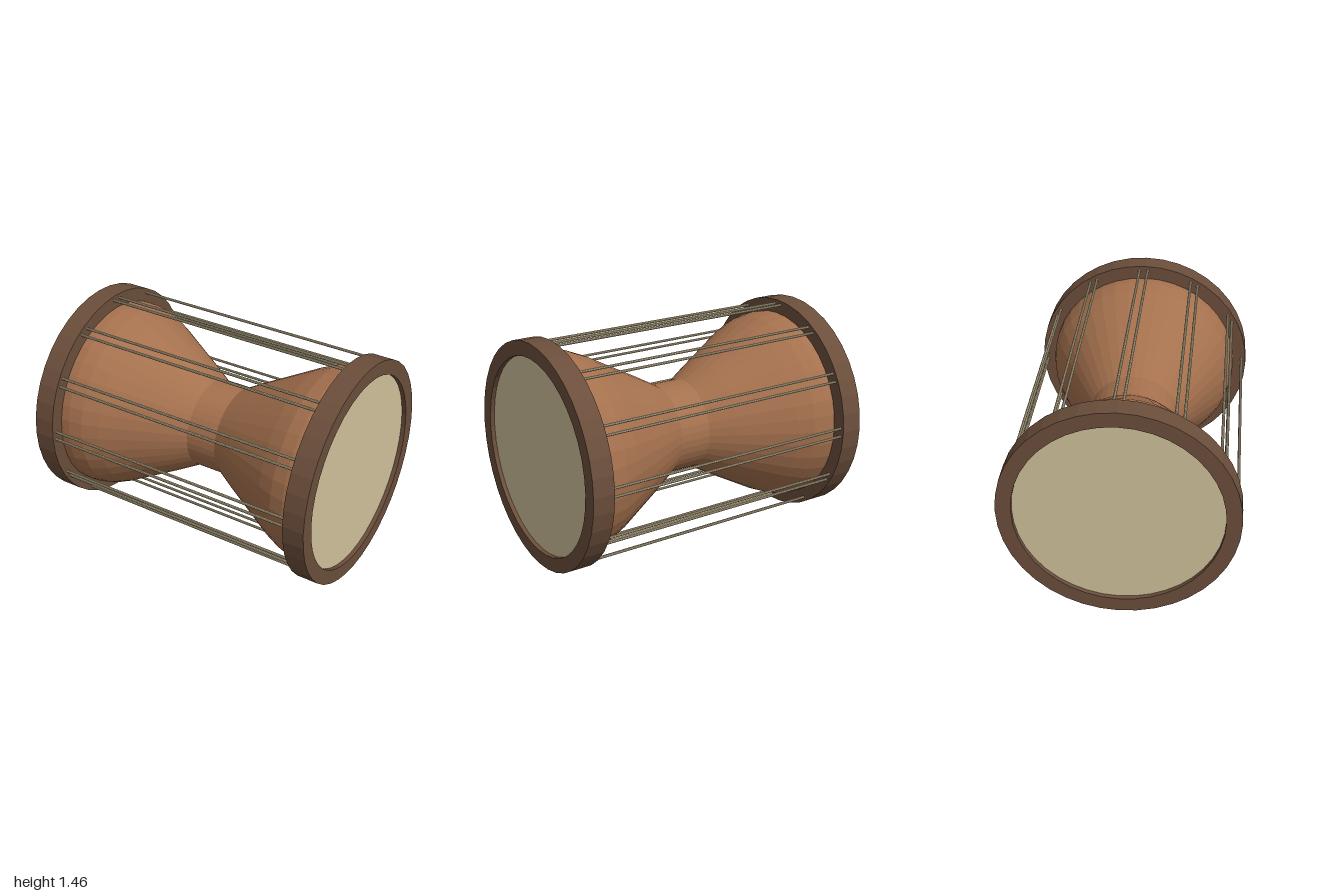
import * as THREE from 'three';

const SIDES = 40;
const CENTRE_Y = 0.73;

function material(name, color) {
  const m = new THREE.MeshStandardMaterial({ color });
  m.name = name;
  m.flatShading = true;
  return m;
}

// Lathe whose axis lies along x; profile is [x, radius] pairs
function latheX(profile) {
  const points = profile.map(([x, r]) => new THREE.Vector2(r, x));
  return new THREE.LatheGeometry(points, SIDES).rotateZ(-Math.PI / 2);
}

export function createModel() {
  const wood = material('body wood', 0xa5714e);
  const darkWood = material('rim wood', 0x6b4e3b);
  const hide = material('drum hide', 0xd0c09b);
  const cord = material('cord', 0xc4b592);

  const drum = new THREE.Group();
  drum.name = 'hourglassDrum';
  drum.position.y = CENTRE_Y;

  const add = (name, geometry, mat, parent = drum) => {
    const mesh = new THREE.Mesh(geometry, mat);
    mesh.name = name;
    parent.add(mesh);
    return mesh;
  };

  // Hourglass shell, mirrored about the waist
  const half = [[0.105, 0.295], [0.26, 0.385], [0.605, 0.576], [0.71, 0.622], [0.8, 0.64], [0.96, 0.64]];
  const mirrored = half.map(([x, r]) => [-x, r]).reverse();
  add('body', latheX([...mirrored, ...half]), wood);

  // Rims and recessed drum heads
  for (const side of [-1, 1]) {
    const label = side > 0 ? 'left' : 'right';
    const lo = side > 0 ? 0.86 : -1;
    const hi = lo + 0.14;
    add(label + 'Rim', latheX([[lo, 0.635], [lo, 0.73], [hi, 0.73], [hi, 0.635], [lo, 0.635]]), darkWood);
    const head = new THREE.CylinderGeometry(0.637, 0.637, 0.009, SIDES).rotateZ(-Math.PI / 2);
    add(label + 'Head', head, hide).position.x = side * 0.967;
  }

  // Twelve pairs of tension cords between the rims
  const cords = new THREE.Group();
  cords.name = 'tensionCords';
  drum.add(cords);
  const cordGeometry = new THREE.CylinderGeometry(0.009, 0.009, 1.76, 8).rotateZ(-Math.PI / 2);
  for (let i = 0; i < 12; i++) {
    for (const offset of [2.9, -1.7]) {
      const a = THREE.MathUtils.degToRad(i * 30 + offset);
      add('cord', cordGeometry, cord, cords).position.set(0, 0.7 * Math.sin(a), 0.7 * Math.cos(a));
    }
  }

  const model = new THREE.Group();
  model.name = 'drumModel';
  model.add(drum);
  return model;
}
